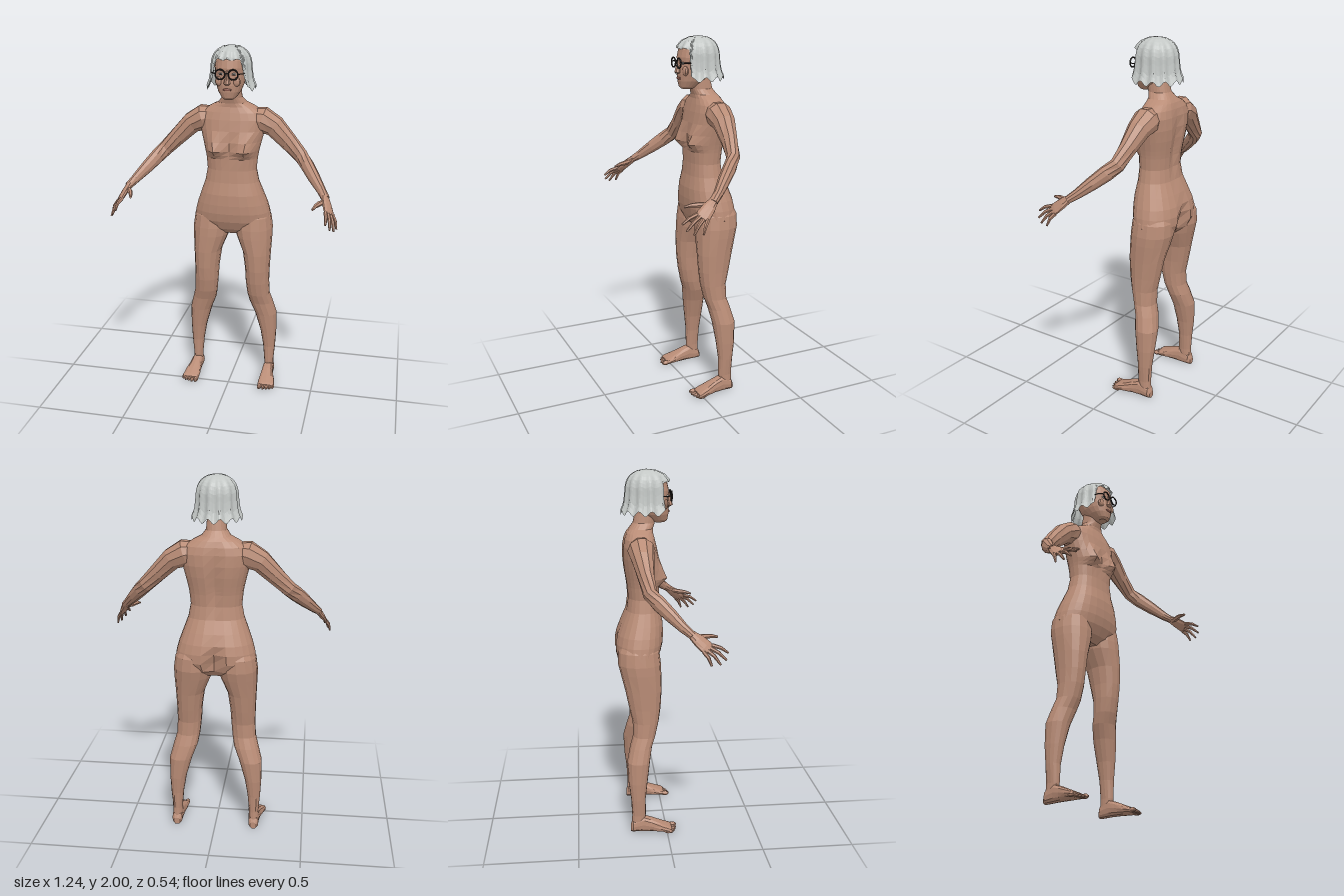
import * as THREE from 'three';

const V = (x, y, z) => new THREE.Vector3(x, y, z);
const material = (name, color, extra = {}) => {
  const m = new THREE.MeshStandardMaterial({ color, flatShading: true, ...extra });
  m.name = name;
  return m;
};

// One cross-section: centre c, half-axes u and v, squared off by power p < 1
function ring(c, u, v, n, p = 1) {
  const pts = [];
  for (let i = 0; i < n; i++) {
    const a = (i / n) * Math.PI * 2, s = Math.sin(a), k = Math.cos(a);
    pts.push(c.clone()
      .addScaledVector(u, Math.sign(k) * Math.abs(k) ** p)
      .addScaledVector(v, Math.sign(s) * Math.abs(s) ** p));
  }
  return pts;
}

// Skin over rings that advance along u x v, closed at both ends
function loft(rings) {
  const n = rings[0].length, pos = [], idx = [];
  rings.forEach((r) => r.forEach((q) => pos.push(q.x, q.y, q.z)));
  for (let j = 0; j < rings.length - 1; j++) {
    for (let i = 0; i < n; i++) {
      const a = j * n + i, b = j * n + ((i + 1) % n);
      idx.push(a, b, b + n, a, b + n, a + n);
    }
  }
  [0, rings.length - 1].forEach((j) => {
    const c = rings[j].reduce((s, q) => s.add(q), V(0, 0, 0)).divideScalar(n);
    const k = pos.length / 3;
    pos.push(c.x, c.y, c.z);
    for (let i = 0; i < n; i++) {
      const a = j * n + i, b = j * n + ((i + 1) % n);
      if (j === 0) idx.push(k, b, a); else idx.push(k, a, b);
    }
  });
  const g = new THREE.BufferGeometry();
  g.setAttribute('position', new THREE.Float32BufferAttribute(pos, 3));
  g.setIndex(idx);
  g.computeVertexNormals();
  return g;
}

// Rows [y, centreX, halfWidth, zFront, zBack], bottom to top
const column = (rows, n, p) => loft(rows.map(([y, cx, hx, zf, zb]) =>
  ring(V(cx, y, (zf + zb) / 2), V(0, 0, (zf - zb) / 2), V(hx, 0, 0), n, p)));

// Limb through points [x, y, z, width, thickness]; width lies along the hint
function limb(pts, n, hint = V(0, 1, 0)) {
  const c = pts.map((q) => V(q[0], q[1], q[2]));
  return loft(c.map((q, i) => {
    const d = c[Math.min(i + 1, c.length - 1)].clone().sub(c[Math.max(i - 1, 0)]).normalize();
    const v = hint.clone().addScaledVector(d, -hint.dot(d)).normalize();
    const u = v.clone().cross(d);
    return ring(q, u.multiplyScalar(pts[i][4] ?? pts[i][3]), v.multiplyScalar(pts[i][3]), n);
  }));
}

function mirrored(geo) {
  const g = geo.clone(), p = g.attributes.position, ix = g.index;
  for (let i = 0; i < p.count; i++) p.setX(i, -p.getX(i));
  for (let i = 0; i < ix.count; i += 3) {
    const b = ix.getX(i + 1);
    ix.setX(i + 1, ix.getX(i + 2));
    ix.setX(i + 2, b);
  }
  g.computeVertexNormals();
  return g;
}

const blob = (x, y, z, rx, ry, rz, w = 10, h = 7) =>
  new THREE.SphereGeometry(1, w, h).scale(rx, ry, rz).translate(x, y, z);

export function createModel() {
  const model = new THREE.Group();
  model.name = 'figure';
  const skin = material('skin', 0xb98c76);
  const hairGrey = material('hair grey', 0xc3c7c5, { side: THREE.DoubleSide });
  const frameDark = material('frame dark', 0x2a2422);
  const eyeWhite = material('eye white', 0xd8d0c8);
  const lipBrown = material('lip brown', 0x8f5c50);
  const add = (name, geo, mat) => {
    const m = new THREE.Mesh(geo, mat);
    m.name = name;
    model.add(m);
  };
  const pair = (name, geo, mat) => {
    add('left ' + name, geo, mat);
    add('right ' + name, mirrored(geo), mat);
  };

  // Torso and neck
  const torso = column([
    [0.935, 0, 0.1, -0.08, -0.2], [0.97, 0, 0.19, -0.04, -0.245], [1.02, 0, 0.222, -0.015, -0.266],
    [1.07, 0, 0.214, -0.003, -0.268], [1.12, 0, 0.2, 0, -0.258], [1.18, 0, 0.178, -0.002, -0.235],
    [1.25, 0, 0.152, -0.015, -0.205], [1.32, 0, 0.139, -0.02, -0.195], [1.385, 0, 0.145, -0.022, -0.2],
    [1.405, 0, 0.148, -0.022, -0.203], [1.43, 0, 0.153, -0.02, -0.207], [1.48, 0, 0.165, -0.02, -0.215],
    [1.54, 0, 0.18, -0.025, -0.22], [1.6, 0, 0.188, -0.035, -0.218], [1.64, 0, 0.168, -0.045, -0.21],
    [1.67, 0, 0.12, -0.053, -0.198], [1.69, 0, 0.078, -0.052, -0.184], [1.72, 0, 0.055, -0.042, -0.162],
    [1.77, 0, 0.051, -0.035, -0.15], [1.83, 0, 0.05, -0.04, -0.15],
  ], 24, 0.85);
  // Chest fullness and the hollows down the back
  const p = torso.attributes.position;
  const bell = (t, w) => Math.exp(-((t / w) ** 2));
  for (let i = 0; i < p.count; i++) {
    const x = p.getX(i), y = p.getY(i);
    let z = p.getZ(i);
    if (z > -0.1) z += 0.048 * bell(Math.abs(x) - 0.085, 0.045) * bell(y - 1.43, y < 1.43 ? 0.03 : 0.065);
    else z += bell(x, 0.025) * (0.045 * bell(y - 1.02, 0.07) + 0.018 * bell(y - 1.45, 0.15));
    p.setZ(i, z);
  }
  add('torso', torso, skin);

  // Legs
  pair('leg', column([
    [0.03, 0.222, 0.028, -0.13, -0.197], [0.1, 0.221, 0.027, -0.118, -0.195], [0.2, 0.221, 0.036, -0.118, -0.2],
    [0.3, 0.215, 0.047, -0.106, -0.212], [0.42, 0.198, 0.064, -0.09, -0.218], [0.5, 0.172, 0.069, -0.076, -0.2],
    [0.56, 0.158, 0.066, -0.055, -0.182], [0.64, 0.152, 0.068, -0.037, -0.182], [0.72, 0.15, 0.071, -0.026, -0.2],
    [0.82, 0.145, 0.08, -0.02, -0.22], [0.92, 0.127, 0.103, -0.02, -0.245], [0.97, 0.122, 0.108, -0.022, -0.257],
    [1.04, 0.12, 0.1, -0.03, -0.255], [1.12, 0.11, 0.07, -0.06, -0.22],
  ], 14, 0.92), skin);

  // Feet, from heel to ball, then toes
  pair('foot', loft([
    [-0.203, 0.222, 0.018, 0.04], [-0.19, 0.222, 0.029, 0.068], [-0.13, 0.222, 0.032, 0.092],
    [-0.085, 0.224, 0.036, 0.076], [-0.03, 0.229, 0.047, 0.052], [0.012, 0.232, 0.051, 0.034],
    [0.026, 0.232, 0.047, 0.026],
  ].map(([z, cx, hx, top]) => ring(V(cx, top / 2, z), V(hx, 0, 0), V(0, top / 2, 0), 12, 0.75))), skin);
  [[0.195, 0.059, 0.014], [0.218, 0.058, 0.01], [0.237, 0.053, 0.0095], [0.256, 0.046, 0.009], [0.273, 0.036, 0.009]]
    .forEach(([x, tip, r], i) => pair('toe ' + (i + 1), blob(x, r, tip - 0.026, r, r, 0.026, 7, 5), skin));

  // Arms
  pair('arm', limb([
    [0.1, 1.605, -0.125, 0.055], [0.165, 1.595, -0.127, 0.073], [0.235, 1.56, -0.125, 0.06],
    [0.31, 1.485, -0.115, 0.05, 0.044], [0.385, 1.41, -0.1, 0.042, 0.036], [0.425, 1.37, -0.06, 0.042, 0.034],
    [0.47, 1.32, -0.005, 0.036, 0.032], [0.52, 1.265, 0.055, 0.026, 0.024], [0.547, 1.235, 0.095, 0.02, 0.024],
  ], 10), skin);

  // Hands: a flat palm, four fingers and a thumb
  const across = V(-0.5, 0.35, 0.65).normalize();
  pair('palm', limb([
    [0.54, 1.243, 0.085, 0.022, 0.018], [0.556, 1.215, 0.12, 0.034, 0.017],
    [0.57, 1.185, 0.155, 0.039, 0.014], [0.577, 1.17, 0.172, 0.035, 0.01],
  ], 10, across), skin);
  const tips = [[0.565, 1.148, 0.27], [0.588, 1.118, 0.257], [0.606, 1.1, 0.226], [0.617, 1.098, 0.18]];
  tips.forEach((t, i) => {
    const root = V(0.574, 1.176, 0.165).addScaledVector(across, 0.03 - i * 0.02);
    const mid = root.clone().lerp(V(...t), 0.5).add(V(0.004, 0.007, 0.003));
    pair('finger ' + (i + 1), limb([
      [...root.toArray(), 0.011], [...mid.toArray(), 0.0095], [...t, 0.0055],
    ], 6), skin);
  });
  pair('thumb', limb([
    [0.545, 1.225, 0.11, 0.014], [0.518, 1.222, 0.155, 0.014],
    [0.503, 1.22, 0.19, 0.011], [0.492, 1.212, 0.226, 0.006],
  ], 6), skin);

  // Head and features
  add('head', column([
    [1.722, 0, 0.026, 0.012, -0.05], [1.735, 0, 0.042, 0.026, -0.075], [1.765, 0, 0.062, 0.032, -0.115],
    [1.8, 0, 0.075, 0.034, -0.155], [1.85, 0, 0.083, 0.03, -0.18], [1.89, 0, 0.086, 0.034, -0.185],
    [1.93, 0, 0.082, 0.025, -0.175], [1.96, 0, 0.065, 0, -0.15], [1.98, 0, 0.04, -0.04, -0.12],
  ], 20, 0.9), skin);
  add('nose', column([
    [1.804, 0, 0.012, 0.042, 0.02], [1.812, 0, 0.019, 0.056, 0.018],
    [1.835, 0, 0.012, 0.049, 0.018], [1.88, 0, 0.008, 0.037, 0.015],
  ], 8, 1), skin);
  add('lips', blob(0, 1.779, 0.031, 0.025, 0.007, 0.007), lipBrown);
  pair('eye', blob(0.034, 1.861, 0.022, 0.014, 0.007, 0.009), eyeWhite);
  pair('iris', blob(0.034, 1.861, 0.03, 0.006, 0.006, 0.003), frameDark);
  pair('cheek', blob(0.045, 1.82, 0.012, 0.024, 0.026, 0.016), skin);

  // Round glasses
  pair('glasses rim', new THREE.TorusGeometry(0.026, 0.004, 6, 20).translate(0.035, 1.861, 0.045), frameDark);
  add('glasses bridge', new THREE.BoxGeometry(0.02, 0.006, 0.006).translate(0, 1.866, 0.046), frameDark);
  pair('glasses temple', limb([[0.06, 1.864, 0.045, 0.003], [0.084, 1.864, 0.02, 0.003],
    [0.092, 1.862, -0.07, 0.003]], 5), frameDark);

  // Wavy bob: a scalloped shell from the crown, cut short over the face
  const seg = 96, steps = 12, pos = [], idx = [];
  const profile = [[2.0, 0.004], [1.994, 0.045], [1.975, 0.08], [1.945, 0.101], [1.91, 0.11],
    [1.87, 0.112], [1.82, 0.118], [1.79, 0.13], [1.76, 0.144]];
  const radiusAt = (y) => {
    const k = Math.max(1, profile.findIndex(([py]) => py <= y));
    const [y0, r0] = profile[k - 1], [y1, r1] = profile[k];
    return r0 + (r1 - r0) * (y0 - y) / (y0 - y1);
  };
  for (let j = 0; j <= steps; j++) {
    for (let i = 0; i <= seg; i++) {
      const a = (i / seg) * Math.PI * 2 - Math.PI, wave = Math.cos(a * 13);
      const side = THREE.MathUtils.smoothstep(Math.abs(a), 0.72, 0.95);
      const bottom = 1.935 - side * 0.158 + wave * (0.004 + side * 0.009);
      const y = 2.0 - (2.0 - bottom) * (j / steps) ** 1.35;
      const r = radiusAt(y) * (1 + wave * (0.02 + 0.035 * j / steps));
      const deep = 1.03 + 0.14 * Math.max(0, Math.cos(a));
      pos.push(Math.sin(a) * r * 0.98, y, -0.085 + Math.cos(a) * r * deep);
      if (j < steps && i < seg) {
        const q = j * (seg + 1) + i, d = q + seg + 1;
        idx.push(q, d, d + 1, q, d + 1, q + 1);
      }
    }
  }
  const hair = new THREE.BufferGeometry();
  hair.setAttribute('position', new THREE.Float32BufferAttribute(pos, 3));
  hair.setIndex(idx);
  hair.computeVertexNormals();
  add('hair', hair, hairGrey);

  return model;
}
